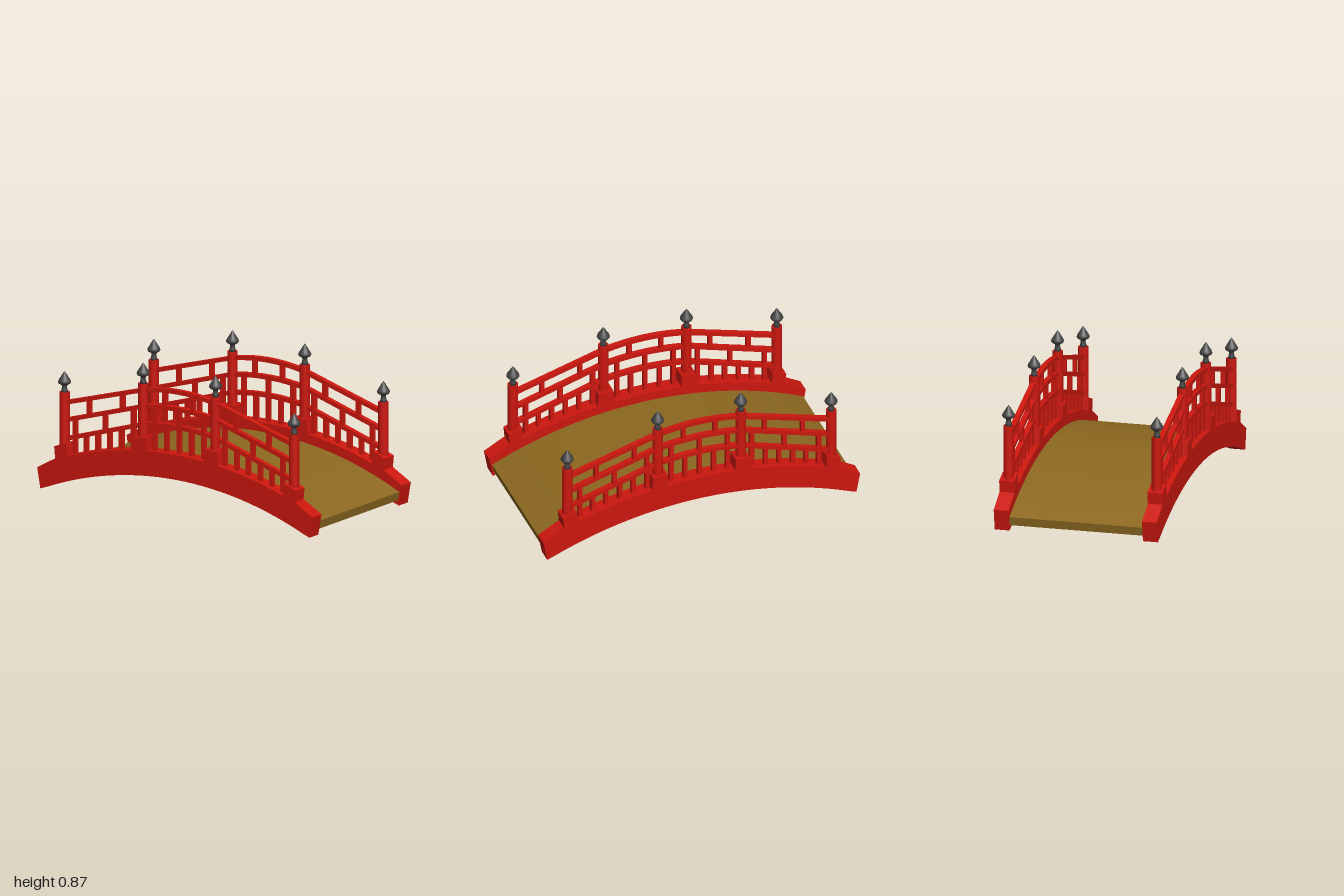
import * as THREE from 'three';
import { toCreasedNormals } from 'three/addons/utils/BufferGeometryUtils.js';

const red = new THREE.MeshStandardMaterial({ color: 0xcc170e });
const wood = new THREE.MeshStandardMaterial({ color: 0x8c6820 });
const iron = new THREE.MeshStandardMaterial({ color: 0x444444 });

const SIDE_Z = 0.4535; // centre line of each balustrade
const INNER_X = 0.262, OUTER_X = 0.832;

// height of a circular arc with its crown at x = 0
const arc = (crown, radius) => x => crown - radius + Math.sqrt(radius * radius - x * x);
const beamTop = arc(0.358, 2.44);
const beamBottom = arc(0.207, 2.4);
const deckTop = arc(0.302, 2.34);

// top edge of the rails, lowest first: bowed in the middle span, straight outside
const rails = [
  { crown: 0.53, inner: 0.508, outer: 0.332 },
  { crown: 0.64, inner: 0.618, outer: 0.446 },
  { crown: 0.745, inner: 0.718, outer: 0.553 },
];
const RAIL_T = 0.026;
function railTop(i, x) {
  const r = rails[i], a = Math.abs(x);
  if (a < INNER_X) return r.crown + (r.inner - r.crown) * (a / INNER_X) ** 2;
  return THREE.MathUtils.lerp(r.inner, r.outer, (a - INNER_X) / (OUTER_X - INNER_X));
}

function sample(fn, x0, x1, n) {
  return Array.from({ length: n + 1 }, (_, i) => {
    const x = x0 + (x1 - x0) * i / n;
    return [x, fn(x)];
  });
}

// outline in x-y, extruded along z and centred on z = 0
function slab(points, depth) {
  const shape = new THREE.Shape(points.map(p => new THREE.Vector2(p[0], p[1])));
  const geo = new THREE.ExtrudeGeometry(shape, { depth, bevelEnabled: false });
  geo.translate(0, 0, -depth / 2);
  return toCreasedNormals(geo, 0.3);
}

function add(parent, name, geo, mat, x = 0, y = 0, z = 0) {
  const mesh = new THREE.Mesh(geo, mat);
  mesh.name = name;
  mesh.position.set(x, y, z);
  parent.add(mesh);
  return mesh;
}

// arched side beam with raised seats under the posts
function beamGeometry() {
  const right = [
    ...sample(beamTop, 0, 0.212, 5),
    [0.214, 0.428], [0.305, 0.424], [0.314, beamTop(0.314)],
    ...sample(beamTop, 0.36, 0.76, 8),
    [0.782, beamTop(0.782)], [0.79, 0.306], [0.875, 0.275], [0.868, 0.203],
    [0.998, 0.13], [0.975, 0.003],
  ];
  const left = right.slice(1).map(([x, y]) => [-x, y]);
  const under = sample(beamBottom, -0.93, 0.93, 28);
  return slab([...right.slice().reverse(), ...left, ...under], 0.091);
}

const finialProfile = [
  [0, 0], [0.022, 0], [0.018, 0.015], [0.014, 0.034], [0.018, 0.044], [0.034, 0.052],
  [0.039, 0.062], [0.035, 0.074], [0.024, 0.091], [0.012, 0.111], [0, 0.128],
].map(p => new THREE.Vector2(p[0], p[1]));
const finialGeo = new THREE.LatheGeometry(finialProfile, 20);

function post(parent, x, bottom, top) {
  const h = top - bottom;
  add(parent, 'post', new THREE.CylinderGeometry(0.031, 0.031, h, 24), red, x, bottom + h / 2);
  add(parent, 'finial', finialGeo, iron, x, top - 0.001);
}

// upright between two heights, its ends buried in the neighbouring parts
function upright(parent, name, x, bottom, top) {
  const h = top - bottom;
  add(parent, name, new THREE.BoxGeometry(0.026, h, 0.026), red, x, bottom + h / 2);
}

function balustrade() {
  const side = new THREE.Group();
  side.name = 'balustrade';
  add(side, 'sideBeam', beamGeometry(), red);

  for (const s of [-1, 1]) {
    post(side, s * INNER_X, 0.4, 0.746);
    post(side, s * OUTER_X, 0.25, 0.606);
  }

  // rails in three spans
  const spans = [[-OUTER_X, -INNER_X, 1], [-INNER_X, INNER_X, 14], [INNER_X, OUTER_X, 1]];
  rails.forEach((_, i) => {
    for (const [x0, x1, n] of spans) {
      const top = sample(x => railTop(i, x), x0, x1, n);
      const low = top.map(([x, y]) => [x, y - RAIL_T]);
      add(side, 'rail', slab([...low, ...top.reverse()], 0.032), red);
    }
  });

  // balusters below the lowest rail
  const mirrored = list => list.flatMap(x => (x ? [x, -x] : [x]));
  for (const x of mirrored([0, 0.09, 0.178, 0.33, 0.417, 0.502, 0.588, 0.672, 0.752]))
    upright(side, 'baluster', x, beamTop(x) - 0.015, railTop(0, x) - 0.013);

  // staggered struts between the upper rails
  const struts = [[0, 0.178, 0.33, 0.535, 0.752], [0.1, 0.41, 0.65]];
  struts.forEach((xs, i) => {
    for (const x of mirrored(xs))
      upright(side, 'strut', x, railTop(i, x) - 0.013, railTop(i + 1, x) - 0.013);
  });
  return side;
}

export function createModel() {
  const bridge = new THREE.Group();
  bridge.name = 'archedBridge';

  // curved walkway
  const top = sample(deckTop, -0.98, 0.98, 32);
  const low = top.map(([x, y]) => [x * 0.99, y - 0.052]);
  add(bridge, 'deck', slab([...low, ...top.reverse()], 0.83), wood);

  for (const s of [-1, 1]) {
    const side = balustrade();
    side.position.z = s * SIDE_Z;
    bridge.add(side);
  }
  return bridge;
}
